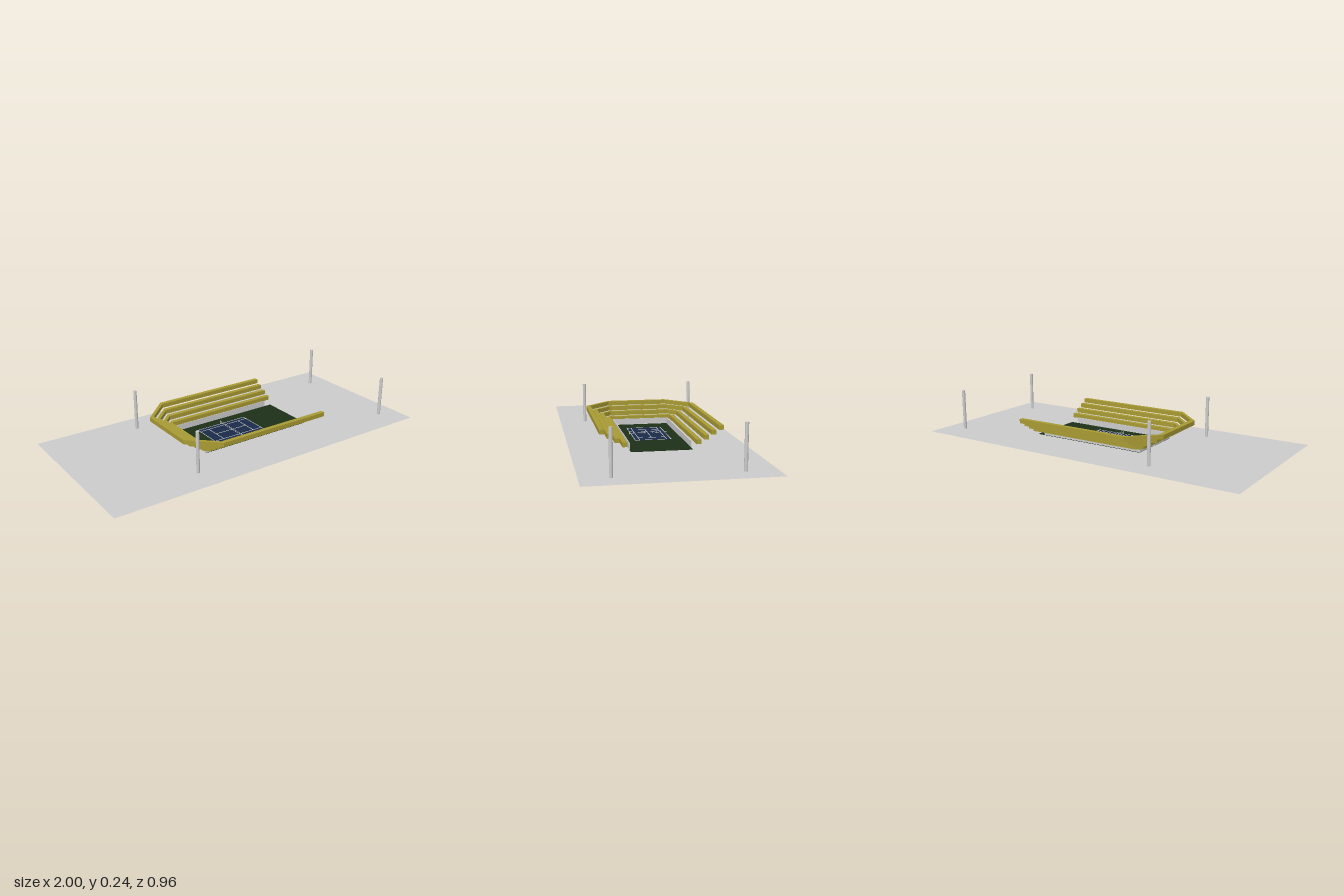
import * as THREE from 'three';

const material = (color) => new THREE.MeshStandardMaterial({ color, side: THREE.DoubleSide, flatShading: true });

export function createModel() {
  const model = new THREE.Group();
  const grey = material(0xcccccc);
  const yellow = material(0xa89a34);
  const green = material(0x1c2e18);
  const blue = material(0x1a2a48);
  const midZ = -0.004;

  const add = (parent, name, geometry, mat, x = 0, y = 0, z = 0) => {
    const mesh = new THREE.Mesh(geometry, mat);
    mesh.name = name;
    mesh.position.set(x, y, z);
    parent.add(mesh);
    return mesh;
  };
  const group = (name) => {
    const g = new THREE.Group();
    g.name = name;
    model.add(g);
    return g;
  };
  const box = (parent, name, mat, w, h, d, x, y, z) =>
    add(parent, name, new THREE.BoxGeometry(w, h, d), mat, x, y, z);

  // Ground sheet and field, which shows through on the underside
  add(model, 'ground', new THREE.PlaneGeometry(2, 0.957).rotateX(-Math.PI / 2), grey, 0, 0.002, 0);
  box(model, 'field', green, 0.7, 0.003, 0.334, 0.07, 0.0025, midZ);

  // Court with its painted lines
  const court = group('court');
  box(court, 'courtSurface', blue, 0.332, 0.001, 0.207, 0, 0.0045, midZ);
  const line = (w, d, x, z) => box(court, 'courtLine', grey, w, 0.0008, d, x, 0.0054, midZ + z);
  const t = 0.004;
  for (const s of [-1, 1]) {
    line(t, 0.207, s * 0.164, 0);        // baseline
    line(t, 0.154, s * 0.105, 0);        // service line
    line(0.332, t, 0, s * 0.1015);       // outer sideline
    line(0.332, t, 0, s * 0.077);        // inner sideline
  }
  line(0.21, t, 0, 0);                   // centre line

  // Net across the middle of the court
  const net = group('net');
  for (const s of [-1, 1]) {
    add(net, 'netPost', new THREE.CylinderGeometry(0.0012, 0.0012, 0.016, 8), grey, 0, 0.012, midZ + s * 0.112);
  }
  for (const y of [0.01, 0.014, 0.019]) box(net, 'netCord', grey, 0.0008, 0.0008, 0.224, 0, y, midZ);
  for (let i = -16; i <= 16; i++) box(net, 'netString', grey, 0.0006, 0.013, 0.0006, 0, 0.0125, midZ + i * 0.0068);

  // Low wall on three sides of the field
  const wall = group('fieldWall');
  for (const s of [-1, 1]) box(wall, 'sideWall', grey, 0.656, 0.035, 0.004, 0.047, 0.0225, midZ + s * 0.167);
  box(wall, 'endWall', grey, 0.004, 0.035, 0.334, -0.281, 0.0225, midZ);

  // Four U-shaped seating tiers with cut corners
  const stands = group('stands');
  const corners = (r) => [
    [0.423, 0.18 + r], [-0.28, 0.18 + r], [-0.282 - r, 0.18],
    [-0.282 - r, -0.18], [-0.28, -0.18 - r], [0.423, -0.18 - r],
  ];
  for (let i = 0; i < 4; i++) {
    const inner = 0.006 + i * 0.0405;
    const outline = [...corners(inner + 0.026), ...corners(inner).reverse()];
    const shape = new THREE.Shape(outline.map(([x, y]) => new THREE.Vector2(x, y)));
    const geometry = new THREE.ExtrudeGeometry(shape, { depth: 0.0245, bevelEnabled: false });
    add(stands, 'seatingTier', geometry.rotateX(-Math.PI / 2), yellow, 0, 0.031 + i * 0.0245, midZ);
  }

  // Tall posts around the site
  const posts = group('lightPosts');
  for (const [x, z] of [[-0.44, -0.344], [0.88, -0.316], [-0.44, 0.326], [0.88, 0.326]]) {
    add(posts, 'lightPost', new THREE.CylinderGeometry(0.0095, 0.0095, 0.24, 16), grey, x, 0.12, z);
  }
  return model;
}
